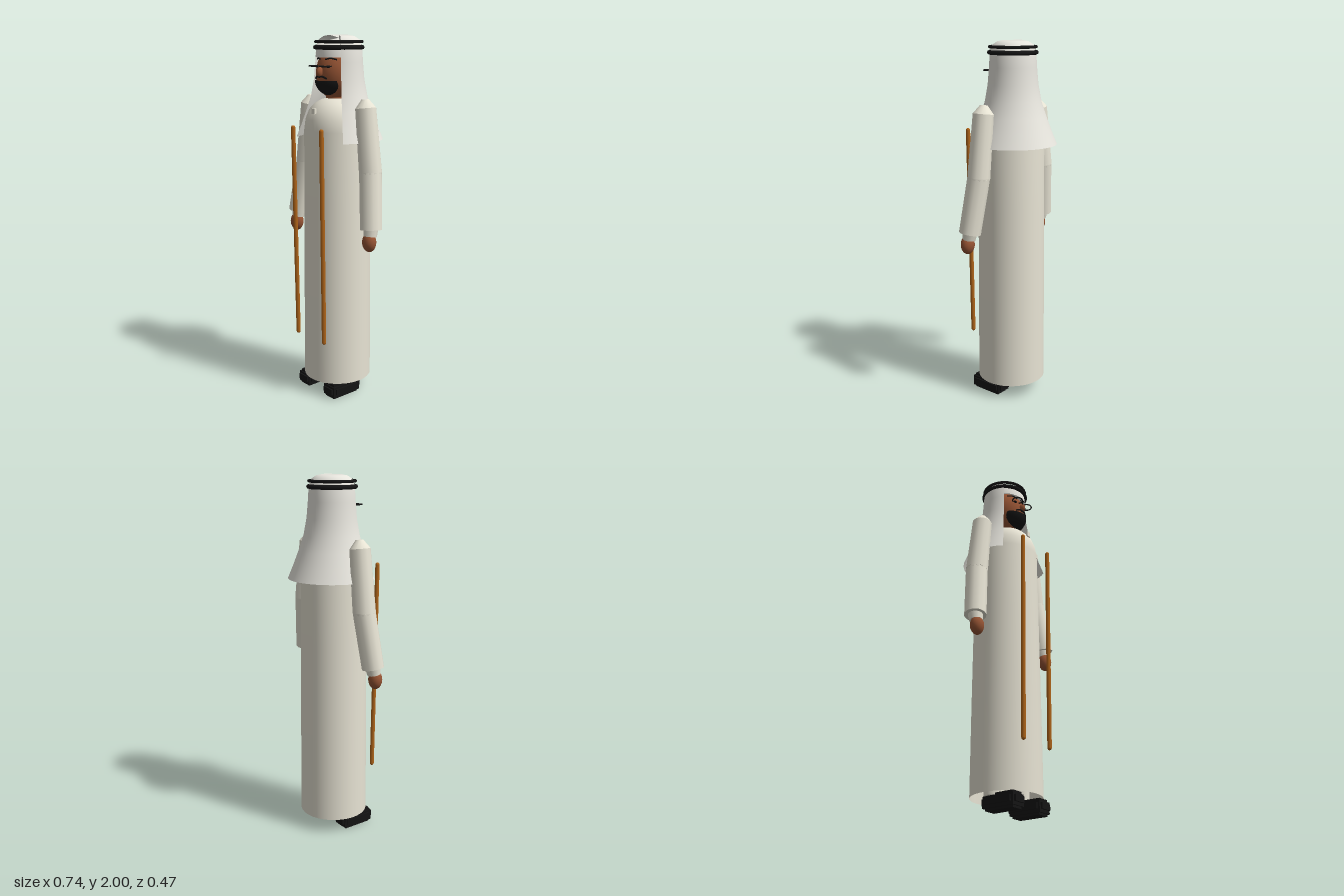
import * as THREE from 'three';

const mat = (name, color, side = THREE.FrontSide) => {
  const m = new THREE.MeshStandardMaterial({ color, side });
  m.name = name;
  return m;
};
const V2 = (list) => list.map(([r, y]) => new THREE.Vector2(r, y));
const V3 = (a) => new THREE.Vector3(...a);

export function createModel() {
  const root = new THREE.Group();
  root.name = 'robedMan';
  const robeMat = mat('warm white robe', 0xf0ecdc, THREE.DoubleSide);
  const clothMat = mat('white head cloth', 0xefede5, THREE.DoubleSide);
  const skin = mat('brown skin', 0x965434);
  const black = mat('black', 0x141414, THREE.DoubleSide);
  const gold = mat('amber cord', 0xb0651a);

  const add = (name, geo, material, pos = [0, 0, 0], scale = [1, 1, 1]) => {
    const m = new THREE.Mesh(geo, material);
    m.name = name;
    m.position.set(...pos);
    m.scale.set(...scale);
    root.add(m);
    return m;
  };
  const box = (name, size, pos, material) => add(name, new THREE.BoxGeometry(...size), material, pos);
  const ball = (name, pos, radii, material, w = 24, h = 16) =>
    add(name, new THREE.SphereGeometry(1, w, h), material, pos, radii);
  // Tapered cylinder running between two points
  const limb = (name, a, b, ra, rb, material, sides = 12) => {
    const p = V3(a), q = V3(b), d = q.clone().sub(p);
    const m = add(name, new THREE.CylinderGeometry(rb, ra, d.length(), sides), material);
    m.position.copy(p).add(q).multiplyScalar(0.5);
    m.quaternion.setFromUnitVectors(new THREE.Vector3(0, 1, 0), d.normalize());
    return m;
  };
  const ring = (name, r, tube, pos, sides = 40) =>
    add(name, new THREE.TorusGeometry(r, tube, 8, sides), black, pos).rotateX(Math.PI / 2);

  // Long open robe with a rounded shoulder line
  add('robe', new THREE.LatheGeometry(V2([
    [0.19, 0.085], [0.187, 0.6], [0.183, 1.1], [0.18, 1.5], [0.172, 1.56],
    [0.152, 1.61], [0.118, 1.645], [0.085, 1.663], [0.05, 1.672],
  ]), 48), robeMat, [0, 0, 0.015]);
  box('collarTab', [0.025, 0.03, 0.014], [0, 1.608, 0.175], robeMat);

  // Neck, head and face
  limb('neck', [0, 1.62, 0.015], [0, 1.75, 0.015], 0.06, 0.06, skin, 20);
  ball('head', [0, 1.8, 0.015], [0.114, 0.142, 0.115], skin, 32, 20);
  ball('nose', [0, 1.81, 0.132], [0.015, 0.026, 0.024], skin, 12, 10);
  add('beard', new THREE.SphereGeometry(1, 24, 10, 0, Math.PI * 2, Math.PI / 2, Math.PI / 2),
    black, [0, 1.765, 0.045], [0.092, 0.085, 0.1]);
  const arc = (name, pts, r) =>
    add(name, new THREE.TubeGeometry(new THREE.CatmullRomCurve3(pts.map(V3)), 10, r, 6), black);
  arc('moustache', [[-0.045, 1.776, 0.126], [-0.02, 1.787, 0.136], [0, 1.784, 0.139],
    [0.02, 1.787, 0.136], [0.045, 1.776, 0.126]], 0.005);

  // Head cloth, open at the front, with a cap section closing the forehead
  const open = THREE.MathUtils.degToRad(55);
  add('headCloth', new THREE.LatheGeometry(V2([
    [0.241, 1.45], [0.212, 1.52], [0.182, 1.6], [0.155, 1.68], [0.138, 1.77],
    [0.13, 1.86], [0.125, 1.94], [0.112, 1.975], [0.085, 1.993], [0.05, 2], [0, 1.985],
  ]), 40, open, Math.PI * 2 - 2 * open), clothMat, [0, 0, 0.005]);
  add('foreheadCloth', new THREE.LatheGeometry(V2([
    [0.123, 1.885], [0.119, 1.93], [0.108, 1.952], [0.05, 1.972], [0, 1.985],
  ]), 20, -open, 2 * open), clothMat, [0, 0, 0.005]);
  ring('lowerHeadRing', 0.125, 0.012, [0, 1.936, 0.004]);
  ring('upperHeadRing', 0.124, 0.008, [0, 1.965, 0.004]);

  for (const s of [-1, 1]) {
    // Eyes, brows and flat eye rings
    ball('eye', [s * 0.045, 1.838, 0.115], [0.012, 0.007, 0.012], black, 12, 8);
    ring('eyeRing', 0.03, 0.0035, [s * 0.045, 1.84, 0.134], 24);
    arc('eyebrow', [[s * 0.02, 1.874, 0.114], [s * 0.05, 1.881, 0.104], [s * 0.08, 1.874, 0.086]], 0.004);

    // Sleeve, cuff and hand
    const shoulder = [s * 0.227, 1.63, 0.015], elbow = [s * 0.268, 1.3, 0.015];
    const wrist = [s * 0.31, 1.0, 0.045];
    limb('shoulderCap', shoulder, [s * 0.222, 1.675, 0.015], 0.056, 0.02, robeMat);
    limb('upperSleeve', elbow, shoulder, 0.062, 0.056, robeMat);
    ball('elbow', elbow, [0.061, 0.05, 0.061], robeMat, 16, 10);
    limb('lowerSleeve', wrist, elbow, 0.06, 0.061, robeMat);
    limb('cuff', [s * 0.311, 0.965, 0.052], [s * 0.308, 1.01, 0.045], 0.036, 0.042, robeMat);
    ball('hand', [s * 0.312, 0.935, 0.06], [0.041, 0.053, 0.036], skin, 14, 10);

    // Cord hanging down the front
    const top = [s * 0.12, 1.515, 0.225], bottom = [s * 0.115, 0.345, 0.21];
    limb('cord', bottom, top, 0.012, 0.012, gold, 8);
    for (const p of [top, bottom]) ball('cordEnd', p, [0.012, 0.012, 0.012], gold, 8, 6);

    // Leg and stepped shoe
    limb('leg', [s * 0.112, 0.075, 0.02], [s * 0.1, 0.6, 0.015], 0.05, 0.055, robeMat, 16);
    box('shoeBody', [0.07, 0.085, 0.17], [s * 0.112, 0.0425, 0.08], black);
    box('shoeSide', [0.105, 0.032, 0.165], [s * 0.112, 0.045, 0.077], black);
    box('shoeToe', [0.07, 0.032, 0.212], [s * 0.112, 0.045, 0.077], black);
    box('shoeMiddle', [0.088, 0.06, 0.19], [s * 0.112, 0.042, 0.078], black);
  }
  return root;
}
